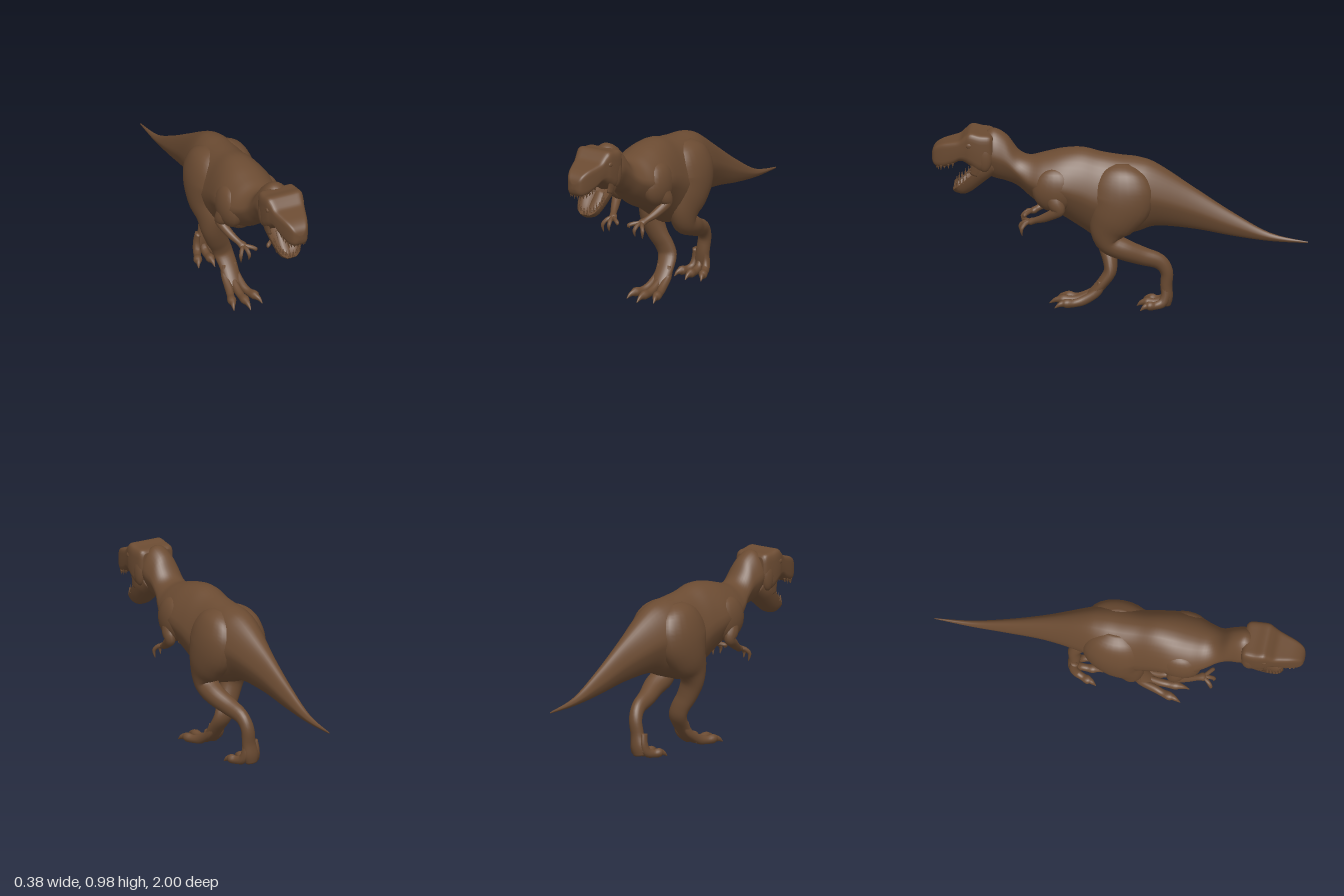
import * as THREE from 'three';

const hide = new THREE.MeshStandardMaterial({ color: 0x6b4b32 });
hide.name = 'brown hide';

// Cross-sections: angle -> unit [x, y]
const pow = (v, p) => Math.sign(v) * Math.abs(v) ** p;
const oval = (a) => [Math.cos(a), Math.sin(a)];
// Skull: boxy with raised brow edges, slimmer towards the lips
const skullSection = (a) => {
  const s = Math.sin(a);
  return [pow(Math.cos(a), 0.45) * (s < 0 ? 1 + 0.12 * s : 1), pow(s, 0.42) * (s > 0 ? 1 - 0.13 * s ** 4 : 1)];
};
const keeled = (a) => {
  const s = Math.sin(a);
  return [pow(Math.cos(a), 0.9) * (s < 0 ? 1 + 0.25 * s : 1 - 0.18 * s), s];
};
const dish = (a) => {
  const s = Math.sin(a);
  return [pow(Math.cos(a), 0.8), s < 0 ? s : -0.6 * s];
};

// Catmull-Rom interpolation of whole station rows
function smoothRows(rows, steps) {
  const out = [];
  const at = (i) => rows[Math.max(0, Math.min(rows.length - 1, i))];
  for (let i = 0; i < rows.length - 1; i++) {
    for (let k = 0; k < steps; k++) {
      const t = k / steps;
      out.push(rows[i].map((p1, c) => {
        const p0 = at(i - 1)[c], p2 = at(i + 1)[c], p3 = at(i + 2)[c];
        return p1 + 0.5 * t * (p2 - p0 + t * (2 * p0 - 5 * p1 + 4 * p2 - p3 + t * (3 * (p1 - p2) + p3 - p0)));
      }));
    }
  }
  out.push(at(rows.length - 1));
  return out;
}

// Skin over stations [x, y, z, halfWidth, halfDepth]; upright keeps the rings vertical
function loft(name, stations, { section = oval, upright = false, steps = 4, sides = 24 } = {}) {
  const rows = smoothRows(stations, steps);
  const centres = rows.map((r) => new THREE.Vector3(r[0], r[1], r[2]));
  const pos = [], index = [], n = rows.length;
  rows.forEach((r, i) => {
    const t = new THREE.Vector3(0, 0, 1);
    if (!upright) t.subVectors(centres[Math.min(n - 1, i + 1)], centres[Math.max(0, i - 1)]).normalize();
    const s = new THREE.Vector3(1, 0, 0).addScaledVector(t, -t.x).normalize();
    const u = new THREE.Vector3().crossVectors(t, s);
    for (let j = 0; j < sides; j++) {
      const [x, y] = section((j / sides) * Math.PI * 2);
      const p = centres[i].clone()
        .addScaledVector(s, x * Math.max(0.001, r[3]))
        .addScaledVector(u, y * Math.max(0.001, r[4]));
      pos.push(p.x, p.y, p.z);
      if (i < n - 1) {
        const a = i * sides + j, b = i * sides + ((j + 1) % sides);
        index.push(a, b, a + sides, b, b + sides, a + sides);
      }
    }
  });
  // End caps
  [0, n - 1].forEach((i) => {
    const c = pos.length / 3;
    pos.push(...centres[i].toArray());
    for (let j = 0; j < sides; j++) {
      const a = i * sides + j, b = i * sides + ((j + 1) % sides);
      index.push(c, ...(i ? [a, b] : [b, a]));
    }
  });
  const g = new THREE.BufferGeometry();
  g.setAttribute('position', new THREE.Float32BufferAttribute(pos, 3));
  g.setIndex(index);
  g.computeVertexNormals();
  const mesh = new THREE.Mesh(g, hide);
  mesh.name = name;
  return mesh;
}

// Rows [z, top, bottom, halfWidth] -> upright stations
const profile = (rows) => rows.map(([z, top, bot, w]) => [0, (top + bot) / 2, z, w, (top - bot) / 2]);
const mirrorX = (rows, side) => rows.map(([x, ...rest]) => [x * side, ...rest]);

function tooth(x, y, z, len, up) {
  const m = new THREE.Mesh(new THREE.ConeGeometry(0.007, len, 6), hide);
  m.position.set(x, y, z);
  if (!up) m.rotation.x = Math.PI;
  m.name = 'tooth';
  return m;
}

function blob(name, x, y, z, rx, ry, rz) {
  const m = new THREE.Mesh(new THREE.SphereGeometry(1, 20, 14), hide);
  m.position.set(x, y, z);
  m.scale.set(rx, ry, rz);
  m.name = name;
  return m;
}

// Three spread toes with hooked claws and a small side claw; heel is the z offset of the toe roots
function foot(x, z, heel, length) {
  const g = new THREE.Group();
  g.name = 'foot';
  for (const k of [-1, 0, 1]) {
    const reach = length * (k ? 0.85 : 1);
    const toe = [[0.03, 0.14, heel, 0.014, 0.02], [0.034, 0.085, heel * 0.6, 0.018, 0.023], [0.04, 0.04, 0.18, 0.021, 0.026],
      [0.054, 0.027, 0.45, 0.02, 0.022], [0.066, 0.029, 0.66, 0.024, 0.025],
      [0.07, 0.028, 0.78, 0.016, 0.018], [0.077, 0.022, 0.88, 0.01, 0.012], [0.083, 0.006, 1, 0.002, 0.002]];
    g.add(loft('toe', toe.map(([a, b, c, d, e], i) => [x + a * k, b, z + (i < 2 ? c : c * reach), d, e]), { sides: 12 }));
  }
  g.add(loft('sideClaw', [[x, 0.075, z, 0.01, 0.012], [x - 0.035, 0.05, z, 0.009, 0.01],
    [x - 0.045, 0.02, z + 0.015, 0.002, 0.002]], { sides: 8 }));
  return g;
}

export function createModel() {
  const model = new THREE.Group();
  model.name = 'dinosaur';

  // Tail, trunk and neck in one skin
  model.add(loft('body', profile([
    [-1, 0.386, 0.378, 0.002], [-0.8, 0.43, 0.385, 0.017], [-0.6, 0.54, 0.41, 0.037], [-0.4, 0.67, 0.445, 0.066],
    [-0.2, 0.8, 0.46, 0.118], [-0.1, 0.835, 0.43, 0.152], [0, 0.845, 0.4, 0.167], [0.1, 0.86, 0.38, 0.164],
    [0.2, 0.882, 0.44, 0.168], [0.3, 0.875, 0.505, 0.175], [0.4, 0.85, 0.555, 0.163], [0.48, 0.832, 0.615, 0.128],
    [0.54, 0.86, 0.665, 0.1], [0.6, 0.94, 0.69, 0.094], [0.66, 0.977, 0.705, 0.098], [0.7, 0.97, 0.72, 0.09],
    [0.73, 0.94, 0.75, 0.07],
  ]), { section: keeled, upright: true, steps: 5, sides: 36 }));

  // Head with open mouth
  const head = new THREE.Group();
  head.name = 'head';
  head.add(loft('skull', profile([
    [0.672, 0.955, 0.79, 0.09], [0.69, 0.975, 0.765, 0.106], [0.74, 0.982, 0.75, 0.112], [0.79, 0.99, 0.782, 0.109],
    [0.82, 0.968, 0.802, 0.1], [0.85, 0.938, 0.808, 0.092], [0.89, 0.926, 0.785, 0.081], [0.94, 0.913, 0.767, 0.066],
    [0.975, 0.893, 0.768, 0.051], [0.993, 0.868, 0.785, 0.036], [1, 0.84, 0.81, 0.012],
  ]), { section: skullSection, upright: true, sides: 40 }));
  head.add(loft('lowerJaw', [
    [0, 0.81, 0.68, 0.085, 0.075], [0, 0.775, 0.745, 0.094, 0.085], [0, 0.725, 0.8, 0.084, 0.082],
    [0, 0.683, 0.843, 0.07, 0.076], [0, 0.655, 0.872, 0.055, 0.06], [0, 0.638, 0.888, 0.028, 0.032],
  ], { section: dish }));
  head.add(loft('tongue', [[0, 0.725, 0.735, 0.026, 0.012], [0, 0.67, 0.785, 0.03, 0.012],
    [0, 0.636, 0.82, 0.024, 0.01], [0, 0.628, 0.84, 0.006, 0.004]], { sides: 12 }));
  for (const s of [-1, 1]) {
    head.add(blob('eye', s * 0.104, 0.91, 0.795, 0.007, 0.014, 0.017));
    head.add(blob('cheek', s * 0.085, 0.845, 0.715, 0.028, 0.085, 0.042));
    head.add(blob('nostril', s * 0.026, 0.838, 0.988, 0.008, 0.014, 0.008));
    // Mouth corner web between the jaws
    head.add(loft('jawMuscle', mirrorX([[0.085, 0.84, 0.765, 0.014, 0.035], [0.087, 0.79, 0.755, 0.011, 0.035],
      [0.08, 0.74, 0.77, 0.01, 0.025]], s), { sides: 10 }));
    for (let i = 0; i < 7; i++) {
      const t = i / 6;
      const long = 0.024 + 0.008 * Math.sin(i * 2.3);
      head.add(tooth(s * (0.062 - 0.054 * t ** 2.2), 0.784 - 0.021 * Math.min(1, t * 1.8), 0.885 + 0.09 * Math.sin(t * 1.57), long, false));
      head.add(tooth(s * (0.07 - 0.06 * t ** 2.2), 0.719 - 0.062 * t, 0.81 + 0.07 * Math.sin(t * 1.57), long + 0.014, true));
    }
  }
  model.add(head);

  // Arms with clawed fingers
  for (const s of [-1, 1]) {
    const arm = new THREE.Group();
    arm.name = s > 0 ? 'leftArm' : 'rightArm';
    arm.add(blob('shoulder', s * 0.112, 0.68, 0.34, 0.066, 0.12, 0.12));
    arm.add(loft('armSkin', mirrorX([
      [0.13, 0.69, 0.36, 0.03, 0.04], [0.148, 0.62, 0.335, 0.034, 0.045], [0.153, 0.58, 0.315, 0.028, 0.034],
      [0.145, 0.555, 0.345, 0.025, 0.028], [0.125, 0.525, 0.395, 0.021, 0.023], [0.105, 0.505, 0.44, 0.017, 0.017],
      [0.09, 0.492, 0.468, 0.023, 0.018], [0.086, 0.485, 0.485, 0.01, 0.01]], s), { sides: 16 }));
    for (const [dx, dy, dz] of [[-0.055, -0.02, 0.042], [0.035, -0.058, 0.045], [-0.01, -0.05, 0.055]]) {
      arm.add(loft('finger', [[0, 0, 0, 0.012, 0.012], [dx * 0.6, dy * 0.15, dz * 0.6, 0.011, 0.012],
        [dx, dy * 0.6, dz, 0.01, 0.01], [dx * 0.9, dy * 1.25, dz * 0.9, 0.002, 0.002]]
        .map(([x, y, z, a, b]) => [s * (0.09 + x), 0.493 + y, 0.47 + z, a, b]), { sides: 8 }));
    }
    model.add(arm);
  }

  // Left leg trails, right leg strides forward
  const thigh = [[0.045, 0.81, -0.01, 0.03, 0.06], [0.063, 0.765, -0.01, 0.075, 0.125],
    [0.08, 0.7, -0.012, 0.094, 0.165], [0.092, 0.62, -0.01, 0.098, 0.172]];
  const left = new THREE.Group();
  left.name = 'leftLeg';
  left.add(loft('legSkin', [...thigh,
    [0.1, 0.53, 0.025, 0.087, 0.138], [0.096, 0.45, 0.055, 0.07, 0.1], [0.09, 0.385, 0.045, 0.062, 0.068],
    [0.085, 0.345, -0.03, 0.055, 0.058], [0.06, 0.305, -0.12, 0.046, 0.05], [0.042, 0.27, -0.21, 0.036, 0.042],
    [0.03, 0.21, -0.25, 0.036, 0.034], [0.02, 0.13, -0.247, 0.038, 0.032], [0.01, 0.065, -0.252, 0.044, 0.03],
    [0.005, 0.02, -0.25, 0.034, 0.022]]));
  left.add(foot(0.008, -0.255, 0.015, 0.165));
  const right = new THREE.Group();
  right.name = 'rightLeg';
  right.add(loft('legSkin', [...mirrorX(thigh, -1),
    [-0.1, 0.53, 0.02, 0.087, 0.133], [-0.096, 0.455, 0.065, 0.07, 0.095], [-0.088, 0.38, 0.08, 0.063, 0.062],
    [-0.06, 0.3, 0.07, 0.058, 0.046], [-0.03, 0.24, 0.055, 0.055, 0.038], [-0.01, 0.185, 0.055, 0.054, 0.034],
    [0, 0.125, 0.095, 0.05, 0.03], [0, 0.065, 0.145, 0.047, 0.028], [0, 0.035, 0.185, 0.038, 0.016]]));
  right.add(foot(0, 0.155, -0.06, 0.22));
  model.add(left, right);

  return model;
}
